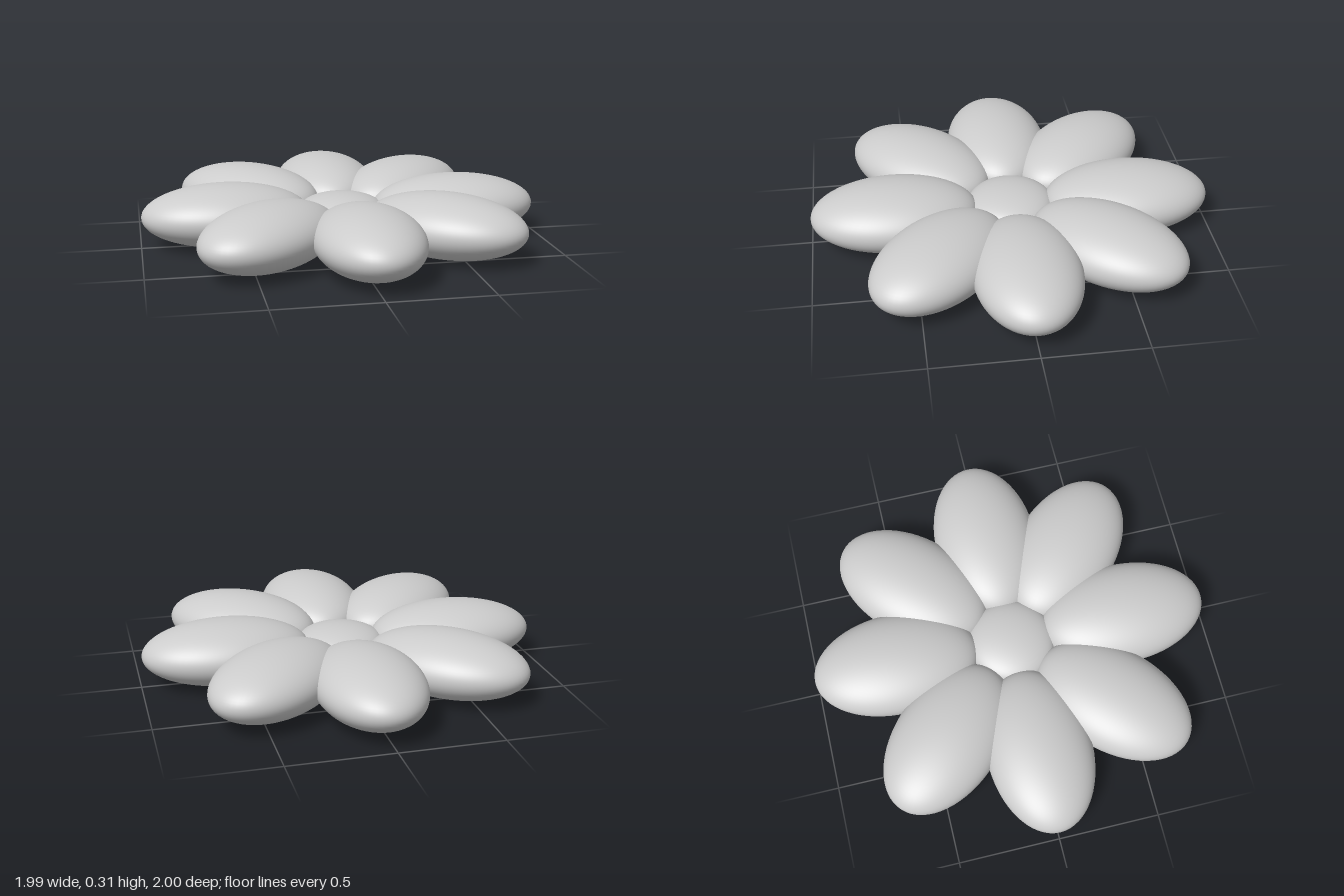
import * as THREE from 'three';

const MID = 0.155; // height of the flower's middle plane
const material = new THREE.MeshStandardMaterial({ color: 0xcccccc });

// Smooth ellipsoid with the given half sizes
function ellipsoid(name, rx, ry, rz) {
  const geometry = new THREE.SphereGeometry(1, 64, 40);
  geometry.scale(rx, ry, rz);
  const mesh = new THREE.Mesh(geometry, material);
  mesh.name = name;
  return mesh;
}

export function createModel() {
  const group = new THREE.Group();
  group.name = 'flower';

  // Flattened centre
  const centre = ellipsoid('centre', 0.215, 0.08, 0.215);
  centre.position.y = MID;
  group.add(centre);

  // Ring of petals: [angle from +x towards +z in degrees, distance, x shift]
  const petals = [
    [0, 0.577, 0], [42.5, 0.583, 0], [90, 0.582, 0.015], [135, 0.594, 0],
    [180, 0.582, 0], [225, 0.594, 0], [270, 0.586, 0.015], [314.2, 0.587, 0],
  ];
  petals.forEach(([degrees, distance, shift], i) => {
    const angle = THREE.MathUtils.degToRad(degrees);
    const petal = ellipsoid(`petal${i + 1}`, 0.414, 0.153, 0.26);
    petal.position.set(Math.cos(angle) * distance + shift, MID, Math.sin(angle) * distance);
    petal.rotation.y = -angle;
    group.add(petal);
  });

  return group;
}
